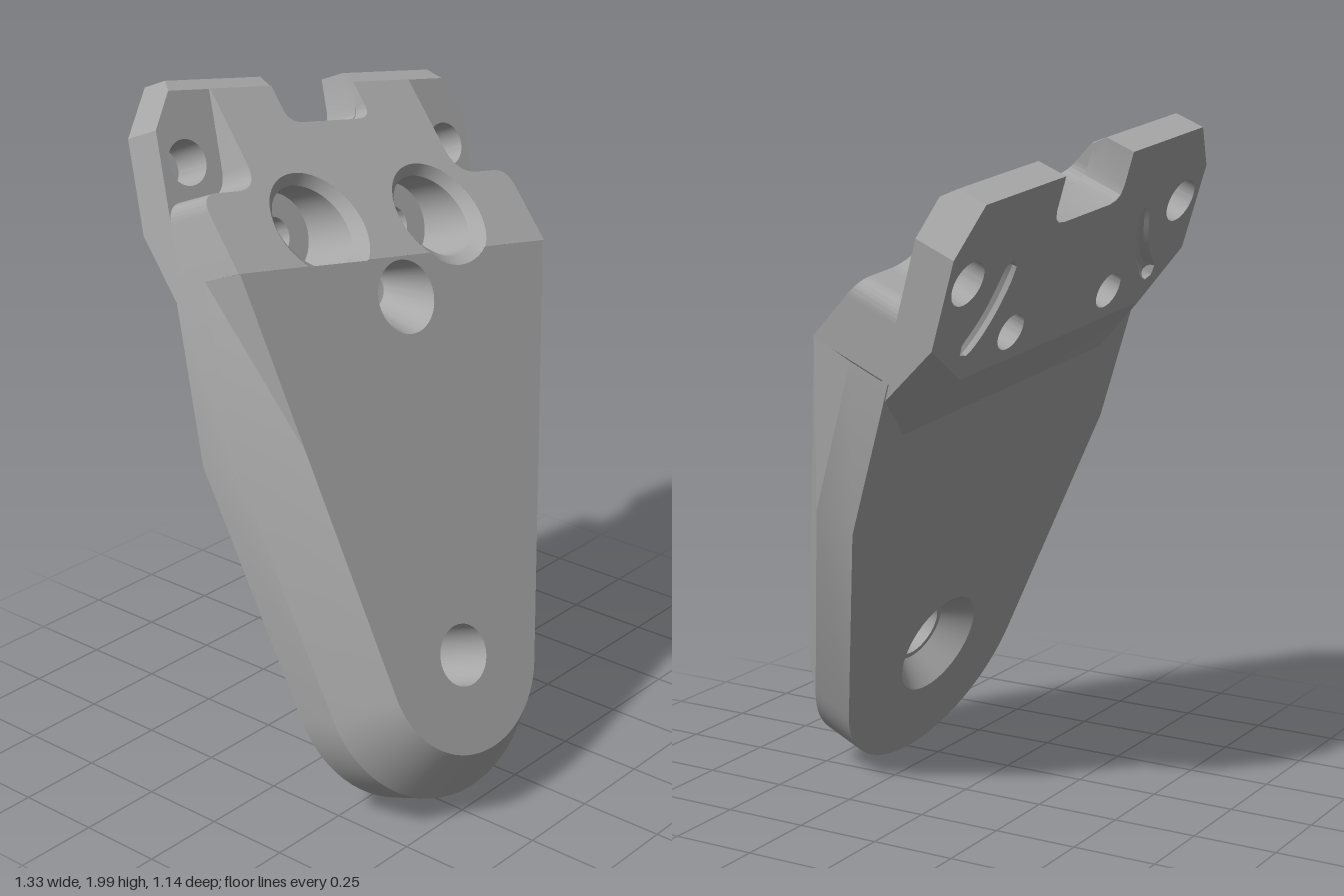
import * as THREE from 'three';
import { toCreasedNormals } from 'three/addons/utils/BufferGeometryUtils.js';

const V2 = (x, y) => new THREE.Vector2(x, y);
const lerp = THREE.MathUtils.lerp;

// Heights above the datum, measured along the plate normal
const PLATE_BACK = 0.357, PLATE_EDGE = 0.493, PLATE_FRONT = 0.635;
const FLAP_BACK = 0.25, FLAP_FRONT = 0.38;
const BEND = 1.37, BOLT = { x: 0.227, y: 1.483, rim: 0.157, bore: 0.125, hole: 0.055 };
const PAD = { x: 0.49, y: 1.707, r: 0.065 };
const slope = y => Math.min(PLATE_FRONT, PLATE_FRONT - 0.466 * (y - BEND));

// Surface through a list of equal-length point loops
function loft(loops, closed = true) {
  const pos = [], n = loops[0].length;
  for (let i = 0; i < loops.length - 1; i++) {
    for (let j = 0; j < (closed ? n : n - 1); j++) {
      const k = (j + 1) % n;
      const [a, b, c, d] = [loops[i][j], loops[i][k], loops[i + 1][k], loops[i + 1][j]];
      for (const p of [a, b, c, a, c, d]) pos.push(p.x, p.y, p.z);
    }
  }
  const g = new THREE.BufferGeometry();
  g.setAttribute('position', new THREE.Float32BufferAttribute(pos, 3));
  return toCreasedNormals(g, 0.5);
}

const at = (pts, z) => pts.map(p => new THREE.Vector3(p.x, p.y, typeof z === 'function' ? z(p.y) : z));

function circle(x, y, r, n = 48) {
  return Array.from({ length: n }, (_, i) => {
    const a = i / n * Math.PI * 2;
    return V2(x + r * Math.cos(a), y + r * Math.sin(a));
  });
}

// Flat face with holes at height z
function cap(shape, holes, z) {
  for (const h of holes) shape.holes.push(new THREE.Path(h));
  return new THREE.ShapeGeometry(shape, 32).translate(0, 0, z);
}

// Rounded tongue outline: top left, down round the tip, to top right
function tongue(r, kinkX, topX) {
  const cy = 0.24, dy = 0.88 - cy;
  const a = Math.atan2(dy, kinkX) - Math.acos(r / Math.hypot(kinkX, dy));
  const pts = [V2(-topX, BEND), V2(-kinkX, 0.88)];
  for (let i = 0; i <= 32; i++) {
    const t = lerp(Math.PI - a, 2 * Math.PI + a, i / 32);
    pts.push(V2(r * Math.cos(t), cy + r * Math.sin(t)));
  }
  pts.push(V2(kinkX, 0.88), V2(topX, BEND));
  return pts;
}

// Notched head outline; t runs from the back face to the front of the step
function head(t, topX, topY) {
  const half = [
    V2(lerp(0.415, 0.47, t), lerp(1.39, 1.12, t)), V2(0.58, lerp(1.53, 1.27, t)),
    V2(0.58, 1.8), V2(topX, topY), V2(0.155, topY),
    V2(0.155, 1.835), V2(0.148, 1.81), V2(0.132, 1.796), V2(0.105, 1.79),
  ];
  return [...half, ...half.map(p => V2(-p.x, p.y)).reverse()];
}

// Sloped upper block with side pads cut away and a notch at the top
function upperBlock() {
  const s = new THREE.Shape();
  s.moveTo(-0.58, BEND);
  for (const m of [-1, 1]) {
    s.lineTo(m * BOLT.x - 0.109, BEND);
    s.absarc(m * BOLT.x, BOLT.y, BOLT.rim, -2.338, -0.803, true);
  }
  s.lineTo(0.58, BEND);
  s.lineTo(0.58, 1.54);
  s.quadraticCurveTo(0.58, 1.6, 0.525, 1.6);
  s.lineTo(0.455, 1.6);
  s.quadraticCurveTo(0.375, 1.6, 0.375, 1.68);
  s.lineTo(0.375, 1.906);
  s.lineTo(0.155, 1.906);
  s.lineTo(0.155, 1.835);
  s.quadraticCurveTo(0.155, 1.79, 0.105, 1.79);
  s.lineTo(-0.105, 1.79);
  s.quadraticCurveTo(-0.155, 1.79, -0.155, 1.835);
  s.lineTo(-0.155, 1.906);
  s.lineTo(-0.375, 1.906);
  s.lineTo(-0.375, 1.68);
  s.quadraticCurveTo(-0.375, 1.6, -0.455, 1.6);
  s.lineTo(-0.525, 1.6);
  s.quadraticCurveTo(-0.58, 1.6, -0.58, 1.54);
  const g = new THREE.ExtrudeGeometry(s, { depth: 1, bevelEnabled: false, curveSegments: 32 });
  const p = g.attributes.position;
  for (let i = 0; i < p.count; i++) p.setZ(i, p.getZ(i) > 0.5 ? slope(p.getY(i)) : FLAP_FRONT);
  return toCreasedNormals(g, 0.5);
}

// Curved groove on the back of the head: its edge outline and its surface
function groove(m) {
  const curve = new THREE.QuadraticBezierCurve(V2(0.3, 1.73), V2(0.34, 1.55), V2(0.445, 1.475));
  const N = 16, rows = [];
  for (let k = 0; k <= 6; k++) {
    const a = k / 6 * Math.PI, row = [];
    for (let i = 0; i <= N; i++) {
      const t = i / N, p = curve.getPoint(t), d = curve.getTangent(t);
      const w = 0.03 * Math.sqrt(Math.max(0, 1 - (2 * t - 1) ** 8)), o = w * Math.cos(a);
      row.push(new THREE.Vector3(m * (p.x - d.y * o), p.y + d.x * o, FLAP_BACK + w * Math.sin(a)));
    }
    rows.push(row);
  }
  const edge = [...rows[0], ...rows[6].slice(1, N).reverse()].map(p => V2(p.x, p.y));
  return { edge, geometry: loft(rows, false) };
}

export function createModel() {
  const model = new THREE.Group();
  model.name = 'mountingBracket';
  const grey = new THREE.MeshStandardMaterial({ color: 0xa8a8a8, side: THREE.DoubleSide });
  grey.name = 'grey';

  // Everything is built square to the plate, then tilted as one
  const body = new THREE.Group();
  body.name = 'bracketBody';
  const u = new THREE.Vector3(0.98, -0.14, 0.14).normalize();
  const n = new THREE.Vector3(-0.078, 0.376, 0.924).normalize();
  const v = new THREE.Vector3().crossVectors(n, u).normalize();
  n.crossVectors(u, v);
  body.quaternion.setFromRotationMatrix(new THREE.Matrix4().makeBasis(u, v, n));
  body.position.copy(u).multiplyScalar(-0.214);
  model.add(body);
  const add = (name, geometry) => {
    const mesh = new THREE.Mesh(geometry, grey);
    mesh.name = name;
    body.add(mesh);
  };

  // Lower plate with a chamfered rim
  const outer = tongue(0.4, 0.585, 0.585), inner = tongue(0.278, 0.45, 0.575);
  add('plateSide', loft([at(outer, PLATE_BACK), at(outer, PLATE_EDGE)], false));
  add('plateChamfer', loft([at(outer, PLATE_EDGE), at(inner, PLATE_FRONT)], false));
  add('plateBack', cap(new THREE.Shape(outer), [circle(0, 0.24, 0.165)], PLATE_BACK));
  const front = new THREE.Shape(inner);
  for (const m of [1, -1]) {
    front.lineTo(m * BOLT.x + 0.109, BEND);
    front.absarc(m * BOLT.x, BOLT.y, BOLT.rim, -0.803, -2.338, true);
  }
  front.lineTo(-0.575, BEND);
  add('plateFront', cap(front, [circle(0, 0.24, 0.088), circle(0, 1.255, 0.105)], PLATE_FRONT));

  // Countersunk hole at the tip and the slanted dimple below the bend
  add('tipHole', loft([[0.165, PLATE_BACK], [0.105, 0.44], [0.088, 0.44], [0.088, PLATE_FRONT]]
    .map(([r, z]) => at(circle(0, 0.24, r), z))));
  add('dimple', loft([[1.255, 0.105, PLATE_FRONT], [1.3, 0.06, 0.48], [1.3, 0.001, 0.47]]
    .map(([y, r, z]) => at(circle(0, y, r), z))));

  // Head plate with stepped back, top chamfer and notch
  const back = head(0, 0.495, 1.94), face = head(1, 0.517, 1.906);
  add('headSide', loft([at(back, FLAP_BACK), at(head(0.73, 0.495, 1.94), 0.345), at(face, FLAP_FRONT)]));
  const holes = [], grooves = [];
  for (const m of [-1, 1]) {
    holes.push(circle(m * BOLT.x, BOLT.y, BOLT.hole), circle(m * PAD.x, PAD.y, PAD.r));
    grooves.push(groove(m));
  }
  add('headBack', cap(new THREE.Shape(back), [...holes, ...grooves.map(g => g.edge)], FLAP_BACK));
  add('headFloor', cap(new THREE.Shape(face), holes, FLAP_FRONT));
  for (const h of holes) add('headHole', loft([at(h, FLAP_BACK), at(h, FLAP_FRONT)]));
  for (const g of grooves) add('backGroove', g.geometry);

  // Sloped block and its two counterbores
  add('slopedBlock', upperBlock());
  for (const m of [-1, 1]) {
    const rim = circle(m * BOLT.x, BOLT.y, BOLT.rim), bore = circle(m * BOLT.x, BOLT.y, BOLT.bore);
    add('counterboreRim', loft([at(rim, slope), at(bore, y => slope(y) - 0.035)]));
    add('counterbore', loft([at(bore, y => slope(y) - 0.035), at(bore, FLAP_FRONT)]));
  }
  return model;
}
